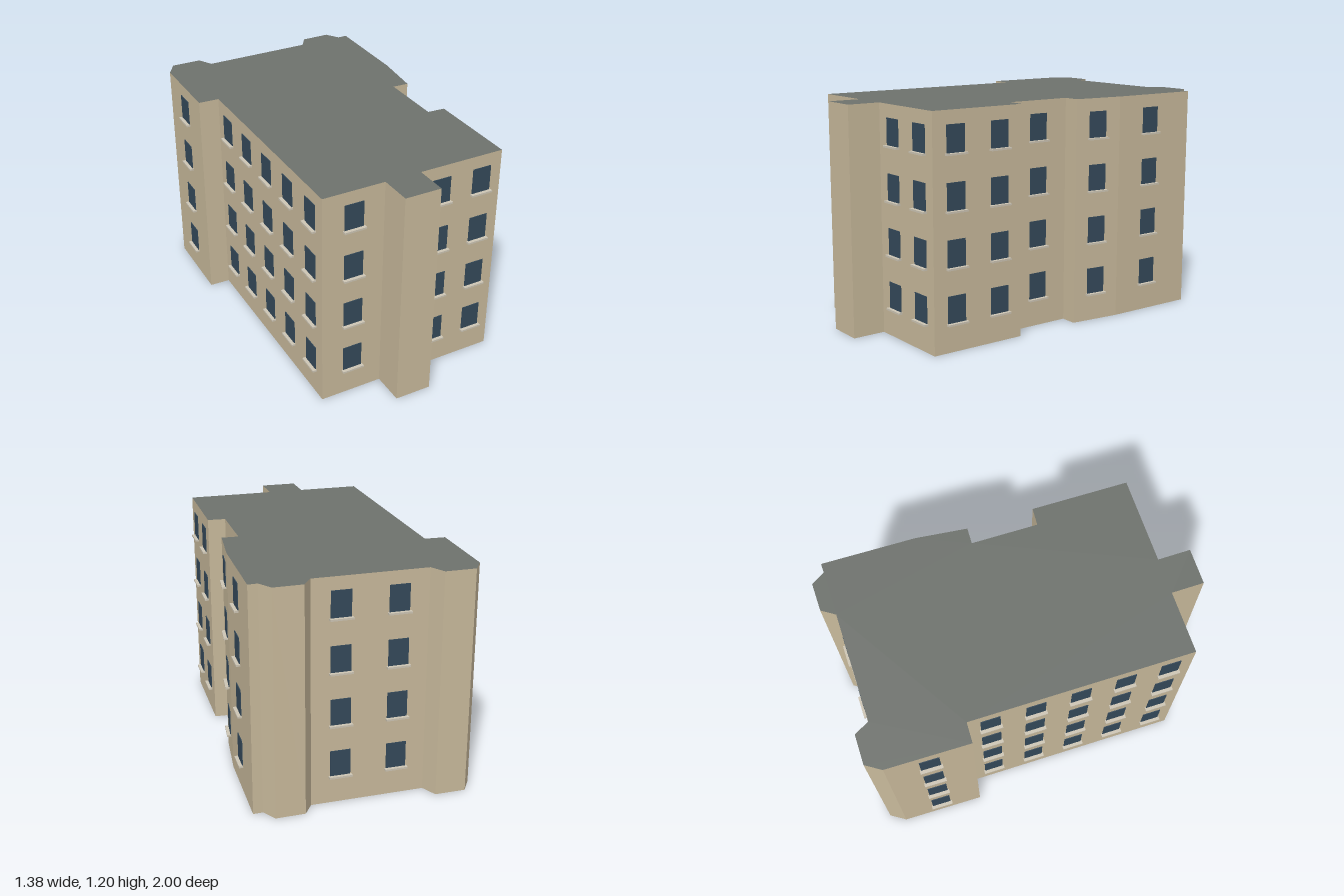
import * as THREE from 'three';

const HEIGHT = 1.2, FLOORS = 4, STOREY = 0.281, FIRST_SILL = 0.15;
const WIN_W = 0.105, WIN_H = 0.138;

// Footprint corners as [x, z], running counter-clockwise seen from above
const OUTLINE = [
  [-0.32, 0.88], [0.015, 0.823], [0.045, 0.997], [0.24, 0.965], [0.21, 0.79],
  [0.68, 0.71], [0.598, 0.19], [0.503, 0.2], [0.447, -0.155], [0.535, -0.167],
  [0.52, -0.445], [0.445, -0.945], [0.395, -0.935], [0.337, -1.0], [0.185, -0.972],
  [0.15, -0.893], [-0.44, -0.79], [-0.495, -0.862], [-0.655, -0.835], [-0.693, -0.745],
  [-0.625, -0.297], [-0.515, -0.312],
];

// Window columns: index of the wall's first corner -> fractions along that wall
const WINDOWS = {
  0: [0.507], 4: [0.262, 0.76], 5: [0.25, 0.744], 7: [0.493], 9: [0.49], 10: [0.436],
  15: [0.254, 0.746], 19: [0.5], 21: [0.1, 0.3, 0.5, 0.7, 0.9],
};

const mat = (color) => new THREE.MeshStandardMaterial({ color });

export function createModel() {
  const model = new THREE.Group();
  model.name = 'apartmentBuilding';
  const wallMat = mat(0xc8b99b), roofMat = mat(0x6e726d);
  const glassMat = mat(0x34495a), sillMat = mat(0xcdc5b4);

  // Main block: walls with a flat roof and base
  const shape = new THREE.Shape(OUTLINE.map(([x, z]) => new THREE.Vector2(x, -z)));
  const blockGeo = new THREE.ExtrudeGeometry(shape, { depth: HEIGHT, bevelEnabled: false });
  blockGeo.rotateX(-Math.PI / 2);
  const block = new THREE.Mesh(blockGeo, [roofMat, wallMat]);
  block.name = 'wallsAndRoof';
  model.add(block);

  // Shared window parts, with +z pointing out of the wall
  const paneGeo = new THREE.BoxGeometry(WIN_W, WIN_H, 0.008);
  paneGeo.translate(0, WIN_H / 2, 0);
  const sillGeo = new THREE.BoxGeometry(0.12, 0.01, 0.026);
  sillGeo.translate(0, -0.005, 0.009);

  // One window per storey in every column
  for (const [wall, fractions] of Object.entries(WINDOWS)) {
    const i = Number(wall);
    const [ax, az] = OUTLINE[i];
    const [bx, bz] = OUTLINE[(i + 1) % OUTLINE.length];
    const facing = Math.atan2(-(bz - az), bx - ax);
    for (const t of fractions) {
      for (let floor = 0; floor < FLOORS; floor++) {
        const unit = new THREE.Group();
        unit.name = 'window';
        const pane = new THREE.Mesh(paneGeo, glassMat);
        pane.name = 'windowPane';
        const sill = new THREE.Mesh(sillGeo, sillMat);
        sill.name = 'windowSill';
        unit.add(pane, sill);
        unit.position.set(ax + (bx - ax) * t, FIRST_SILL + floor * STOREY, az + (bz - az) * t);
        unit.rotation.y = facing;
        model.add(unit);
      }
    }
  }
  return model;
}
